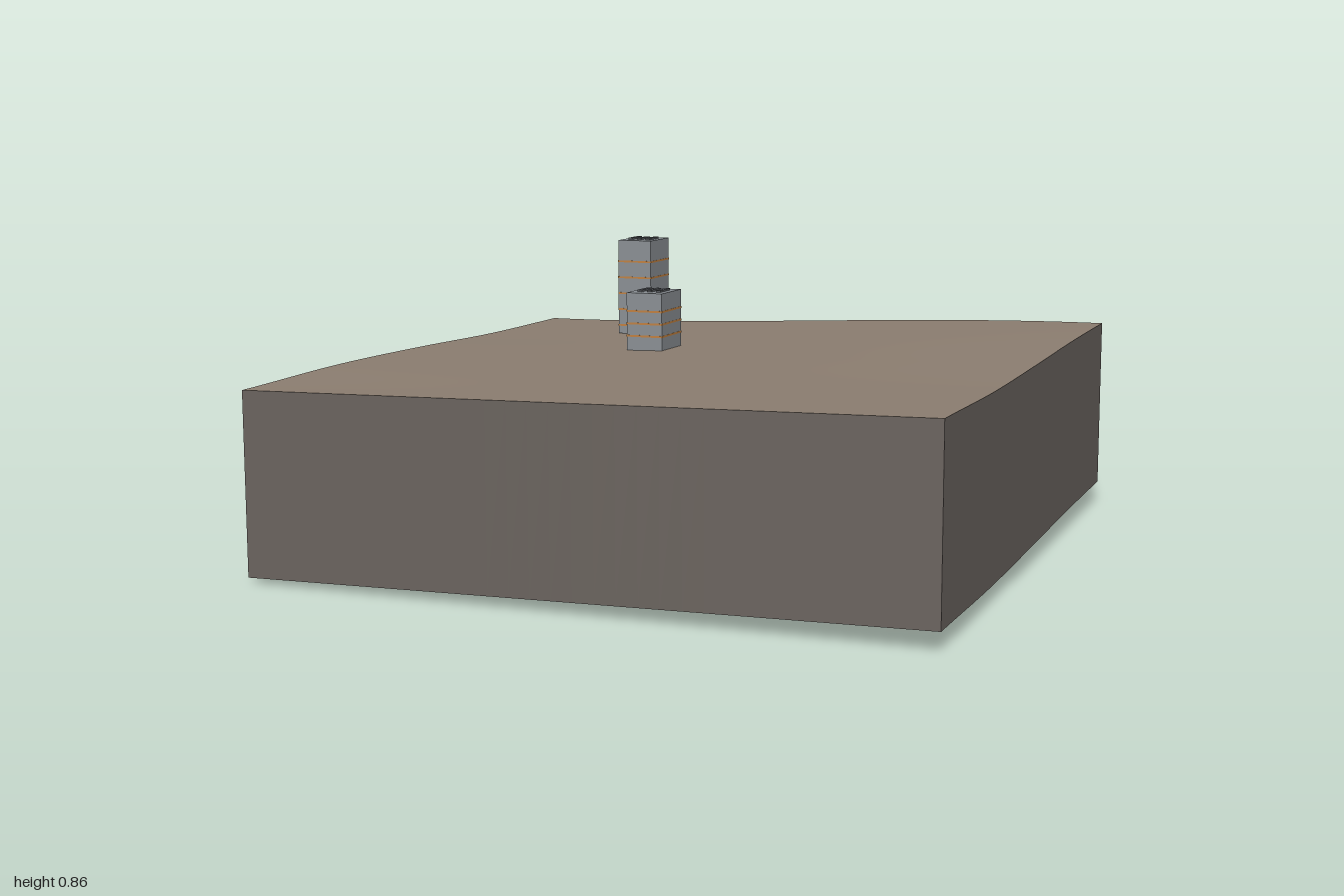
import * as THREE from 'three';

const mat = (name, color, extra = {}) => {
  const m = new THREE.MeshStandardMaterial({ color, ...extra });
  m.name = name;
  return m;
};

// underside height along the -x and +x edges, sampled from z = -1 to z = 1
const LEFT_EDGE = [0.003, 0.005, 0.018, 0.025, 0.018];
const RIGHT_EDGE = [0.07, 0.067, 0.058, 0.052, 0.058];
const THICKNESS = 0.532;

const profile = (points) => {
  const curve = new THREE.SplineCurve(points.map((y, i) => new THREE.Vector2(i / 2 - 1, y)));
  return (z) => curve.getPoint((z + 1) / 2).y;
};
const leftEdge = profile(LEFT_EDGE);
const rightEdge = profile(RIGHT_EDGE);

// gentle slope: straight at the front, S-shaped at the back
function lowerHeight(x, z) {
  const t = (x + 1) / 2;
  const s = t * t * (3 - 2 * t);
  const blend = THREE.MathUtils.lerp(s, t, (z + 1) / 2);
  return THREE.MathUtils.lerp(leftEdge(z), rightEdge(z), blend);
}
const groundHeight = (x, z) => lowerHeight(x, z) + THICKNESS;

export function createModel() {
  const model = new THREE.Group();
  model.name = 'terrainWithTowers';

  const soil = mat('soil', 0x8b7d70, { side: THREE.DoubleSide });
  const earthWall = mat('earthWall', 0x6b645f, { side: THREE.DoubleSide });
  const concrete = mat('concrete', 0x8a8f94);
  const orange = mat('orangeBand', 0xc08040);
  const darkGrey = mat('roofUnit', 0x55585c);

  const add = (parent, name, geometry, material, x = 0, y = 0, z = 0) => {
    const mesh = new THREE.Mesh(geometry, material);
    mesh.name = name;
    mesh.position.set(x, y, z);
    parent.add(mesh);
    return mesh;
  };

  // rolling ground surface
  const ground = new THREE.PlaneGeometry(2, 2, 32, 32).rotateX(-Math.PI / 2);
  const gp = ground.attributes.position;
  for (let i = 0; i < gp.count; i++) gp.setY(i, groundHeight(gp.getX(i), gp.getZ(i)));
  ground.computeVertexNormals();
  add(model, 'ground', ground, soil);

  // four side walls following the ground, open underneath
  ['frontWall', 'leftWall', 'backWall', 'rightWall'].forEach((name, k) => {
    const wall = new THREE.PlaneGeometry(2, 1, 32, 1).translate(0, 0, 1).rotateY((k * Math.PI) / 2);
    const p = wall.attributes.position;
    for (let i = 0; i < p.count; i++) {
      const low = lowerHeight(p.getX(i), p.getZ(i));
      p.setY(i, p.getY(i) > 0 ? low + THICKNESS : low);
    }
    add(model, name, wall, earthWall);
  });

  // tower block with floor bands and three roof units
  function tower(name, x, z, top, firstBand, spacing, bands) {
    const group = new THREE.Group();
    group.name = name;
    const w = 0.118, d = 0.158;
    const base = groundHeight(x, z);
    add(group, 'towerBody', new THREE.BoxGeometry(w, top - base, d), concrete, x, (top + base) / 2, z);
    for (let i = 0; i < bands; i++) {
      add(group, 'floorBand', new THREE.BoxGeometry(w + 0.002, 0.006, d + 0.002), orange, x, firstBand + i * spacing, z);
    }
    for (const dx of [-0.031, 0, 0.031]) {
      add(group, 'roofUnit', new THREE.BoxGeometry(0.015, 0.008, 0.08), darkGrey, x + dx, top + 0.002, z);
    }
    model.add(group);
  }
  tower('tallTower', -0.502, -0.668, 0.862, 0.575, 0.054, 5);
  tower('shortTower', -0.254, -0.168, 0.742, 0.607, 0.039, 3);

  return model;
}
